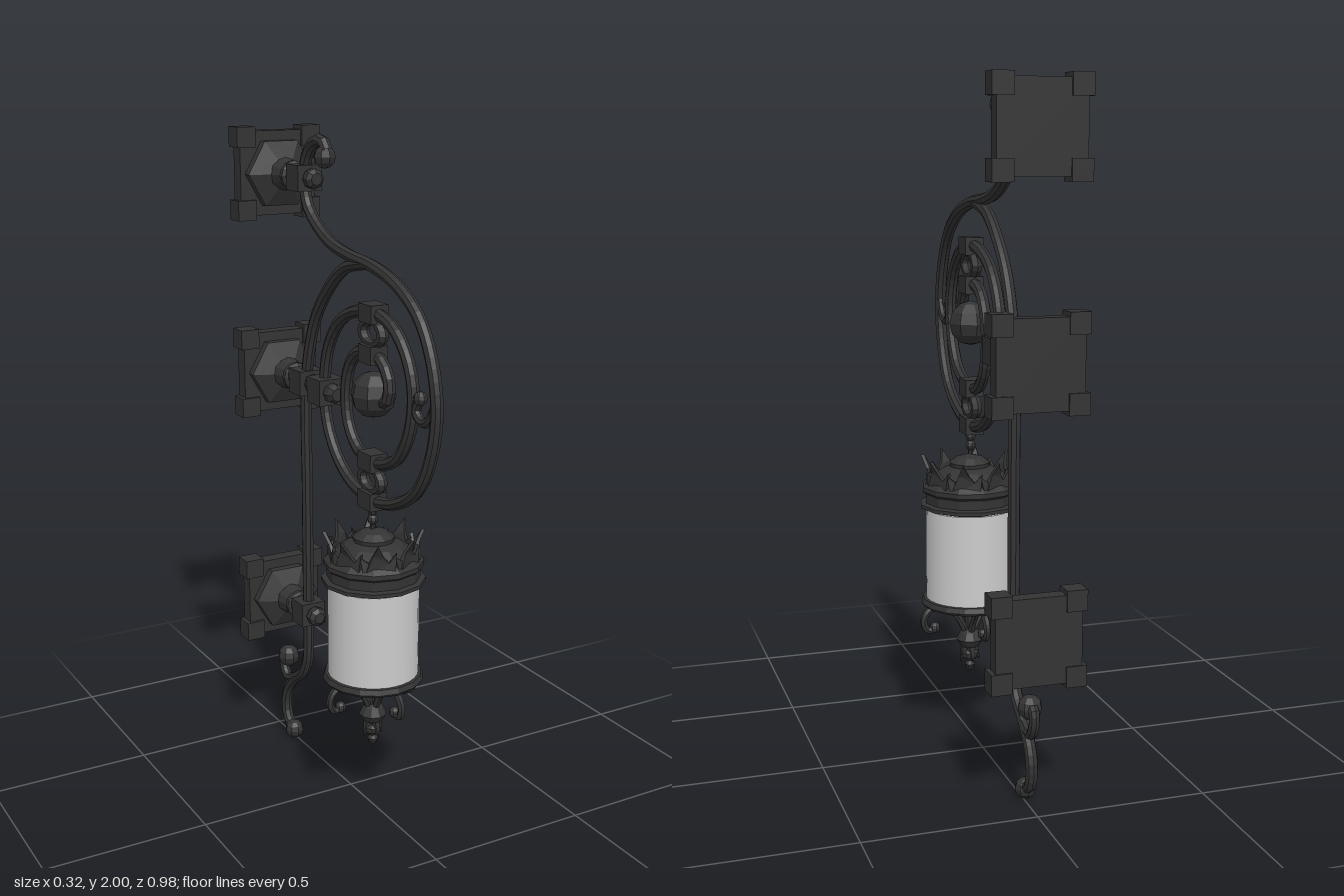
import * as THREE from 'three';

const metal = new THREE.MeshStandardMaterial({ color: 0x333333, flatShading: true });
const glass = new THREE.MeshStandardMaterial({ color: 0xcccccc });
const AXIS = -0.007; // x of the ironwork
const LAMP_Z = 0.135; // z of the hanging lantern

function add(parent, name, geometry, x = 0, y = 0, z = 0, material = metal) {
  const mesh = new THREE.Mesh(geometry, material);
  mesh.name = name;
  mesh.position.set(x, y, z);
  parent.add(mesh);
  return mesh;
}

// Round bar through [z, y] points
function bar(points, segments, radius, sides = 8) {
  const curve = new THREE.CatmullRomCurve3(points.map(([z, y]) => new THREE.Vector3(0, y, z)));
  return new THREE.TubeGeometry(curve, segments, radius, sides);
}

const ball = (r) => new THREE.SphereGeometry(r, 8, 6);
const box = (x, y, z) => new THREE.BoxGeometry(x, y, z);

function lathe(profile, sides, start = 0) {
  return new THREE.LatheGeometry(profile.map(([r, y]) => new THREE.Vector2(r, y)), sides, start);
}

// Wall plate with corner blocks, hexagonal boss, turned spool and clamp
function makeMount(y) {
  const g = new THREE.Group();
  g.name = 'wallMount';
  g.position.set(AXIS, y, 0);
  add(g, 'wallPlate', box(0.25, 0.25, 0.045), 0, 0, -0.4605);
  for (const sx of [-1, 1]) for (const sy of [-1, 1])
    add(g, 'cornerBlock', box(0.06, 0.06, 0.06), sx * 0.108, sy * 0.108, -0.458);
  add(g, 'hexBoss', lathe([[0.11, -0.44], [0.11, -0.412], [0.05, -0.385], [0, -0.385]], 6, Math.PI / 2)
    .rotateX(Math.PI / 2));
  add(g, 'spool', lathe([[0.05, -0.39], [0.037, -0.345], [0.044, -0.34], [0.044, -0.325],
    [0.034, -0.32], [0.034, -0.29]], 12).rotateX(Math.PI / 2));
  add(g, 'clamp', box(0.08, 0.075, 0.075), 0, 0, -0.267);
  add(g, 'clampKnob', lathe([[0.022, -0.235], [0.03, -0.22], [0.03, -0.2], [0.018, -0.188], [0, -0.188]], 8)
    .rotateX(Math.PI / 2));
  return g;
}

function makeScrollwork() {
  const g = new THREE.Group();
  g.name = 'scrollwork';
  g.position.x = AXIS;
  // Top curl running into the large spiral
  const spiral = [
    [-0.125, 1.945], [-0.145, 1.97], [-0.18, 1.975], [-0.23, 1.95], [-0.26, 1.9], [-0.265, 1.85],
    [-0.245, 1.785], [-0.19, 1.735], [-0.1, 1.69], [0.01, 1.668], [0.14, 1.655], [0.27, 1.62],
    [0.38, 1.55], [0.445, 1.445], [0.472, 1.315], [0.445, 1.18], [0.38, 1.075], [0.27, 1.01],
    [0.14, 0.985], [0.01, 1.01], [-0.08, 1.075], [-0.135, 1.17], [-0.145, 1.28], [-0.12, 1.385],
    [-0.055, 1.47], [0.035, 1.515], [0.14, 1.53], [0.245, 1.505], [0.31, 1.45], [0.345, 1.385],
    [0.355, 1.315], [0.335, 1.225], [0.28, 1.145], [0.21, 1.11], [0.14, 1.1], [0.06, 1.115],
    [0, 1.18], [-0.015, 1.28], [0.01, 1.36], [0.06, 1.405], [0.14, 1.415], [0.2, 1.39],
    [0.23, 1.34], [0.215, 1.29], [0.16, 1.28],
  ];
  add(g, 'spiralBar', bar(spiral, 130, 0.018));
  add(g, 'spiralEye', ball(0.067), 0, 1.297, 0.142);
  add(g, 'topCurlEnd', ball(0.033), 0, 1.93, -0.14);
  // Upright post with arched top and curled foot
  add(g, 'post', bar([
    [0.1, 1.66], [-0.02, 1.63], [-0.12, 1.555], [-0.195, 1.465], [-0.24, 1.36], [-0.265, 1.235],
    [-0.265, 0.9], [-0.265, 0.6], [-0.265, 0.4], [-0.272, 0.325], [-0.305, 0.265], [-0.36, 0.225],
    [-0.41, 0.17], [-0.43, 0.11], [-0.415, 0.055], [-0.375, 0.033]], 80, 0.018));
  add(g, 'footEnd', ball(0.031), 0, 0.031, -0.375);
  add(g, 'footCurl', bar([[-0.35, 0.23], [-0.415, 0.207], [-0.445, 0.245], [-0.443, 0.285], [-0.41, 0.29]], 16, 0.016));
  add(g, 'footCurlEnd', ball(0.036), 0, 0.285, -0.41);
  // Small leaf curl inside the outer loop
  add(g, 'innerCurl', bar([[0.468, 1.34], [0.435, 1.285], [0.4, 1.275], [0.37, 1.3], [0.385, 1.335]], 14, 0.014));
  add(g, 'innerCurlEnd', ball(0.02), 0, 1.338, 0.39);
  // Bands and oval links between the rings
  for (const y of [1.528, 1.413, 1.102, 0.987])
    add(g, 'band', box(0.056, 0.052, 0.072), 0, y, 0.138);
  for (const y of [1.472, 1.046]) {
    const link = add(g, 'ovalLink', new THREE.TorusGeometry(0.05, 0.017, 6, 16).rotateY(Math.PI / 2), 0, y, 0.138);
    link.scale.set(1, 0.65, 1.05);
  }
  // Tie from the middle mount to the spiral
  add(g, 'tieRod', new THREE.CylinderGeometry(0.016, 0.016, 0.18, 8).rotateX(Math.PI / 2), 0, 1.25, -0.2);
  add(g, 'tieClamp', box(0.084, 0.078, 0.08), 0, 1.25, -0.142);
  add(g, 'tieKnob', lathe([[0.03, -0.105], [0.03, -0.08], [0.02, -0.064], [0, -0.064]], 8)
    .rotateX(Math.PI / 2), 0, 1.25, 0);
  return g;
}

// Three-pointed crown leaf, curving outwards towards its tip
function leafGeometry() {
  const outline = [[-0.045, 0], [-0.055, 0.06], [-0.03, 0.042], [-0.02, 0.065], [-0.006, 0.1],
    [0.012, 0.062], [0.028, 0.042], [0.05, 0.07], [0.045, 0]];
  const shape = new THREE.Shape(outline.map(([x, y]) => new THREE.Vector2(x, y)));
  const geo = new THREE.ExtrudeGeometry(shape, { depth: 0.01, bevelEnabled: false });
  const p = geo.attributes.position;
  for (let i = 0; i < p.count; i++) {
    const x = p.getX(i), y = p.getY(i);
    p.setZ(i, p.getZ(i) - 4 * x * x - 0.5 * y + 6 * y * y);
  }
  geo.computeVertexNormals();
  return geo;
}

function makeLantern() {
  const g = new THREE.Group();
  g.name = 'lantern';
  g.position.z = LAMP_Z;
  // Hanger
  add(g, 'hangerRod', new THREE.CylinderGeometry(0.008, 0.008, 0.1, 6), AXIS / 2, 0.93, 0);
  for (const y of [0.952, 0.924]) add(g, 'hangerBead', ball(0.016), AXIS / 2, y, 0);
  // Cap and glass
  add(g, 'cap', lathe([[0, 0.72], [0.13, 0.72], [0.13, 0.735], [0.154, 0.737], [0.154, 0.748], [0.138, 0.752],
    [0.138, 0.78], [0.148, 0.788], [0.148, 0.802], [0.125, 0.822], [0.085, 0.85], [0.06, 0.86],
    [0.062, 0.872], [0.04, 0.888], [0.012, 0.895], [0, 0.9]], 12));
  add(g, 'glass', new THREE.CylinderGeometry(0.135, 0.135, 0.29, 32), 0, 0.585, 0, glass);
  add(g, 'bottomRing', lathe([[0.125, 0.425], [0.145, 0.425], [0.151, 0.433], [0.145, 0.448],
    [0.13, 0.45], [0.125, 0.425]], 16));
  // Crown of leaves
  const leaf = leafGeometry();
  for (let i = 0; i < 8; i++) {
    const a = (i + 0.5) * Math.PI / 4;
    const mesh = add(g, 'crownLeaf', leaf, Math.sin(a) * 0.13, 0.79, Math.cos(a) * 0.13);
    mesh.rotation.y = a;
  }
  // Four scrolls under the ring
  const scroll = bar([[0.015, 0.335], [0.035, 0.375], [0.07, 0.412], [0.11, 0.424], [0.142, 0.405],
    [0.151, 0.375], [0.138, 0.35], [0.115, 0.353]], 28, 0.011, 6);
  for (let i = 0; i < 4; i++) {
    const arm = new THREE.Group();
    arm.name = 'bottomScroll';
    arm.rotation.y = i * Math.PI / 2 + 0.06;
    add(arm, 'scrollBar', scroll);
    add(arm, 'scrollEnd', ball(0.017), 0, 0.357, 0.115);
    // Little leaf hugging the lower finial
    const bud = add(arm, 'finialLeaf', new THREE.ConeGeometry(0.015, 0.05, 5), 0, 0.258, 0.024);
    bud.rotation.x = Math.PI - 0.35;
    g.add(arm);
  }
  // Turned finial
  add(g, 'finial', lathe([[0, 0.2], [0.012, 0.212], [0.016, 0.225], [0.01, 0.236], [0.026, 0.25], [0.028, 0.265],
    [0.016, 0.278], [0.03, 0.288], [0.042, 0.308], [0.03, 0.332], [0.016, 0.342], [0.018, 0.4],
    [0.012, 0.425], [0.012, 0.442]], 10));
  return g;
}

export function createModel() {
  const model = new THREE.Group();
  model.name = 'wallLantern';
  for (const y of [1.863, 1.253, 0.497]) model.add(makeMount(y));
  model.add(makeScrollwork(), makeLantern());
  return model;
}
